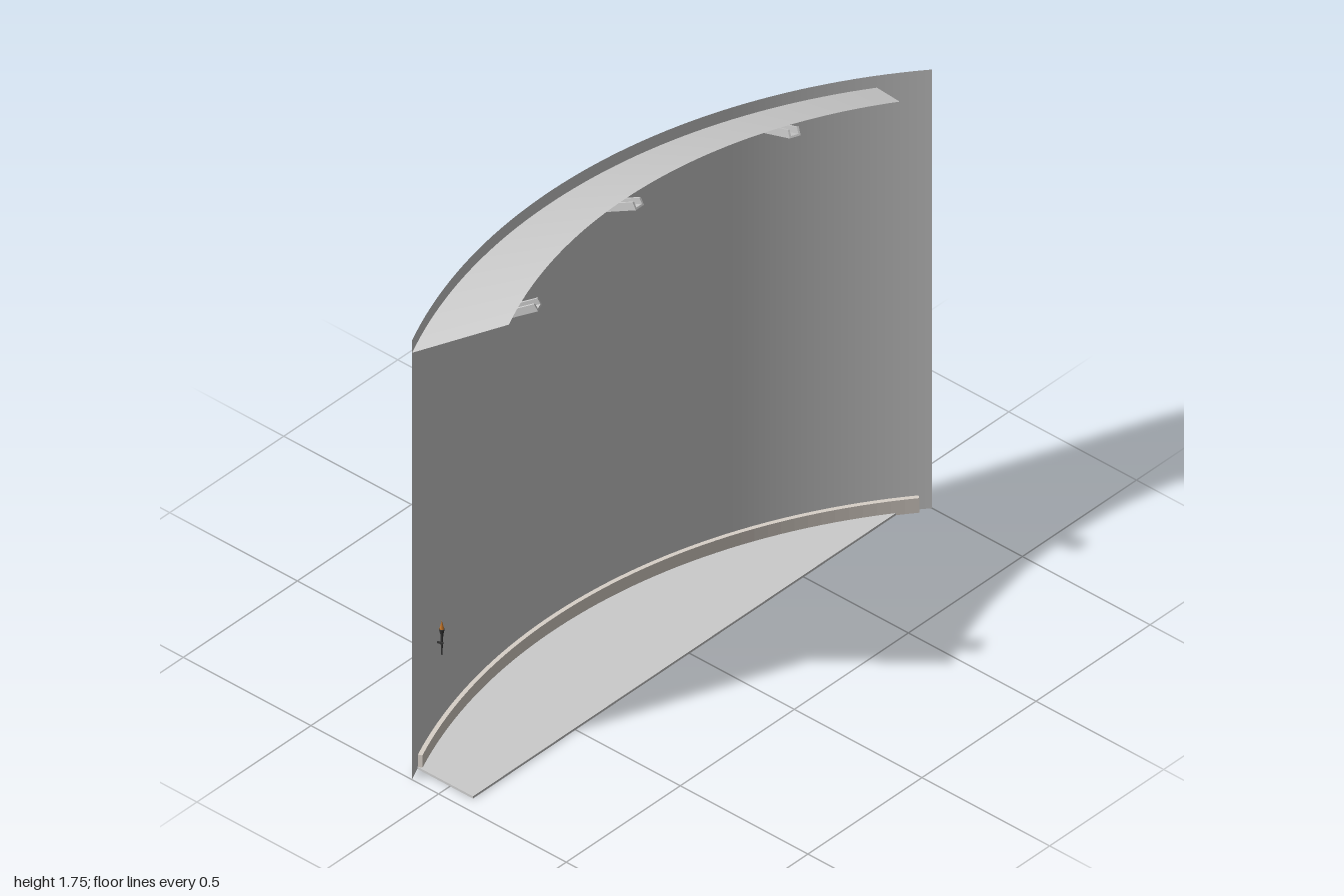
import * as THREE from 'three';

// All curved parts share one vertical axis; angle a = 0 points towards -x.
const CX = 1.56, CZ = 0.193, R = 1.85;
const A_FRONT = 0.4515, A_BACK = -0.701;

const grey = new THREE.MeshStandardMaterial({ color: 0xcccccc, side: THREE.DoubleSide });
const beige = new THREE.MeshStandardMaterial({ color: 0xd8d0c8 });
const dark = new THREE.MeshStandardMaterial({ color: 0x333333 });
const orange = new THREE.MeshStandardMaterial({ color: 0xc8782a });

function add(parent, name, geometry, material) {
  const mesh = new THREE.Mesh(geometry, material);
  mesh.name = name;
  parent.add(mesh);
  return mesh;
}

// Thin curved sheet between two (radius, height) points
function sheet(p, q, a0, a1) {
  const pts = [new THREE.Vector2(...p), new THREE.Vector2(...q)];
  return new THREE.LatheGeometry(pts, 48, a0 - Math.PI / 2, a1 - a0).translate(CX, 0, CZ);
}

// Plan points (x, -z) along an arc
function arc(r, a0, a1, n = 48) {
  return Array.from({ length: n + 1 }, (_, i) => {
    const a = a0 + (a1 - a0) * i / n;
    return new THREE.Vector2(CX - r * Math.cos(a), -(CZ + r * Math.sin(a)));
  });
}

// Horizontal slab raised from a plan outline
function slab(points, height) {
  return new THREE.ExtrudeGeometry(new THREE.Shape(points), { depth: height, bevelEnabled: false })
    .rotateX(-Math.PI / 2);
}

// Group turned about the shared axis, local -x pointing outwards
function radial(parent, name, angle) {
  const g = new THREE.Group();
  g.name = name;
  g.position.set(CX, 0, CZ);
  g.rotation.y = angle;
  parent.add(g);
  return g;
}

export function createModel() {
  const model = new THREE.Group();
  model.name = 'curvedWall';

  // Tall curved wall
  add(model, 'wall', sheet([R, 0], [R, 1.6], A_BACK, A_FRONT), grey);

  // Sloping canopy rising inwards from the wall
  add(model, 'canopy', sheet([R - 0.001, 1.557], [1.555, 1.72], -0.612, A_FRONT), grey);

  // Floor between the wall and a straight chord
  const floor = arc(R - 0.001, 0.422, -0.652);
  floor.push(new THREE.Vector2(0.09, -0.95));
  add(model, 'floor', slab(floor, 0.008), grey);

  // Skirting along the foot of the wall
  const skirt = [...arc(R - 0.002, 0.422, -0.679), ...arc(R - 0.016, -0.679, 0.422)];
  add(model, 'skirting', slab(skirt, 0.053), beige);

  // Channel beams under the canopy
  const slope = Math.atan2(0.163, 0.295);
  const w = 0.018, d = 0.026, t = 0.006;
  const channel = new THREE.Shape([
    [-w, 0], [-w, -d], [w, -d], [w, 0], [w - t, 0], [w - t, t - d], [t - w, t - d], [t - w, 0],
  ].map(p => new THREE.Vector2(...p)));
  const beamGeometry = new THREE.ExtrudeGeometry(channel, {
    depth: 0.34 / Math.cos(slope), bevelEnabled: false,
  });
  beamGeometry.applyMatrix4(new THREE.Matrix4().makeBasis(
    new THREE.Vector3(0, 0, 1),
    new THREE.Vector3(-Math.sin(slope), Math.cos(slope), 0),
    new THREE.Vector3(-Math.cos(slope), -Math.sin(slope), 0),
  ));
  for (const a of [-0.384, 0, 0.384]) {
    const g = radial(model, 'canopySupport', a);
    add(g, 'beam', beamGeometry, grey).position.set(-1.505, 1.745, 0);
  }

  // Small torch fitting on the inner wall face
  const torch = radial(model, 'wallTorch', 0.3286);
  add(torch, 'stem', new THREE.CylinderGeometry(0.005, 0.002, 0.08, 8), dark).position.set(-1.837, 0.34, 0);
  const arm = add(torch, 'bracket', new THREE.BoxGeometry(0.02, 0.005, 0.005), dark);
  arm.position.set(-1.841, 0.345, 0.004);
  add(torch, 'cup', new THREE.CylinderGeometry(0.009, 0.005, 0.018, 8), dark).position.set(-1.837, 0.385, 0);
  add(torch, 'flame', new THREE.ConeGeometry(0.007, 0.03, 8), orange).position.set(-1.837, 0.409, 0);

  return model;
}
